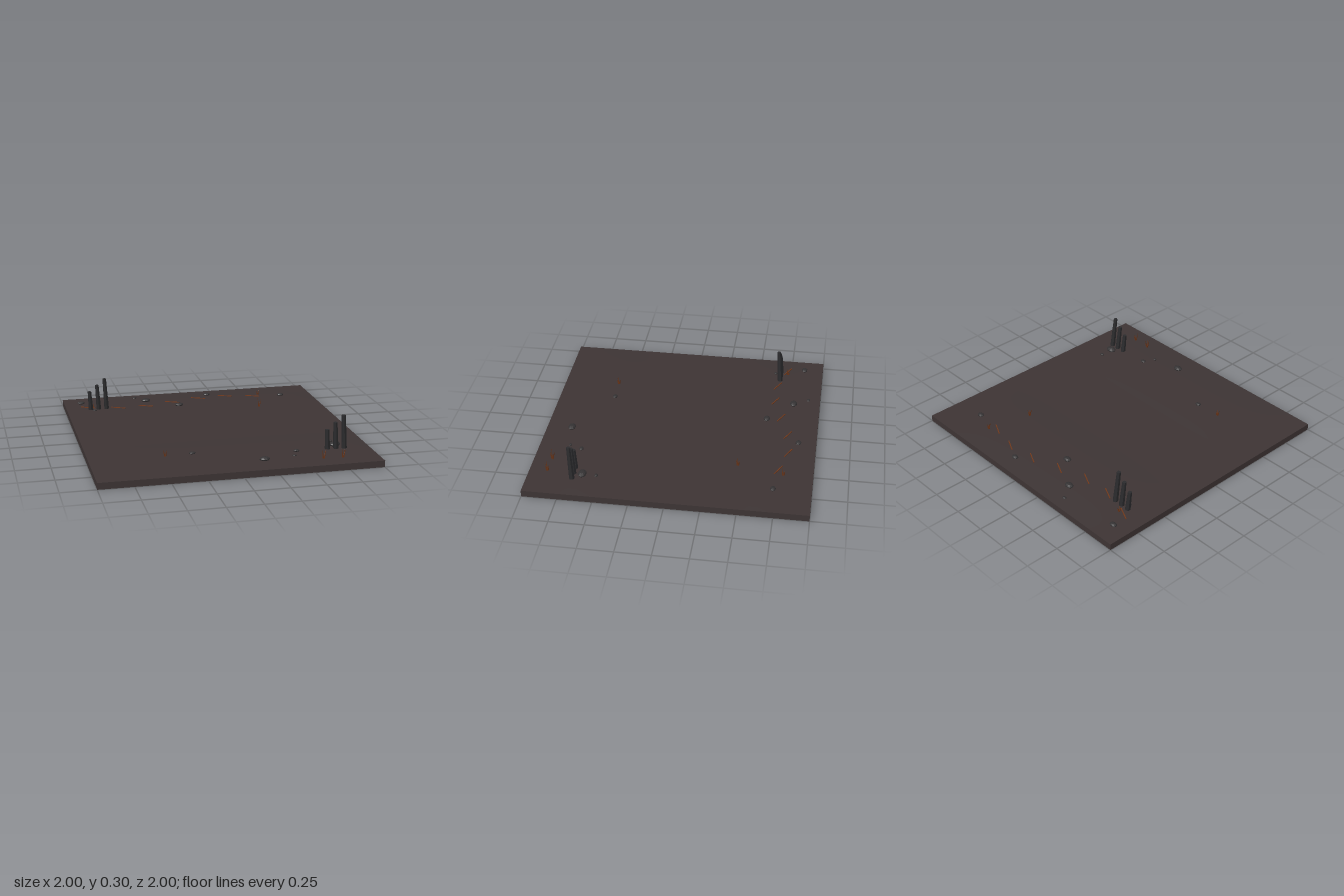
import * as THREE from 'three';

const soil = new THREE.MeshStandardMaterial({ color: 0x3d3434 });
soil.name = 'ashen soil';
const basalt = new THREE.MeshStandardMaterial({ color: 0x2b2b2d, flatShading: true });
basalt.name = 'basalt';
const pebble = new THREE.MeshStandardMaterial({ color: 0x343233, flatShading: true });
pebble.name = 'pebble';
const rust = new THREE.MeshStandardMaterial({ color: 0x70391c, side: THREE.DoubleSide });
rust.name = 'rust';

// Low swells along the front and back of the plain, flat through the middle
function groundHeight(x, z) {
  const t = Math.max(0, (Math.abs(z) - 0.25) / 0.75);
  return 0.047 + 0.007 * Math.sin(Math.PI * Math.min(1, t)) * (1 - x ** 4);
}

function add(parent, name, geometry, material) {
  const mesh = new THREE.Mesh(geometry, material);
  mesh.name = name;
  parent.add(mesh);
  return mesh;
}

export function createModel() {
  const model = new THREE.Group();
  model.name = 'volcanic plain';

  // Ground slab
  const slab = new THREE.BoxGeometry(2, 0.047, 2, 24, 1, 32);
  slab.translate(0, 0.0235, 0);
  const p = slab.attributes.position;
  for (let i = 0; i < p.count; i++) {
    if (p.getY(i) > 0.03) p.setY(i, groundHeight(p.getX(i), p.getZ(i)));
  }
  slab.computeVertexNormals();
  add(model, 'ground', slab, soil);

  // Two stands of leaning hexagonal columns, rising towards +x
  for (const [cx, cz] of [[-0.752, -0.672], [0.75, 0.678]]) {
    const stand = new THREE.Group();
    stand.name = 'columnStand';
    for (let i = 0; i < 3; i++) {
      const top = 0.2 + i * 0.05;
      const g = new THREE.CylinderGeometry(0.015, 0.02, top - 0.04, 6);
      g.translate(0, (top - 0.04) / 2, 0);
      // Shear the column so that its cap stays level
      g.applyMatrix4(new THREE.Matrix4().set(1, -0.065, 0, 0, 0, 1, 0, 0, 0, 0.07, 1, 0, 0, 0, 0, 1));
      add(stand, 'column', g, basalt).position.set(cx + (i - 1) * 0.062, 0.04, cz);
    }
    model.add(stand);
  }

  // Flattened stones: x, z, radius
  const stones = [
    [-0.87, -0.855, 0.029], [-0.43, -0.91, 0.017], [-0.355, -0.8, 0.036], [0.16, -0.87, 0.028],
    [0.745, -0.73, 0.027], [-0.12, -0.615, 0.033], [-0.79, -0.63, 0.016], [-0.27, 0.573, 0.024],
    [0.19, 0.813, 0.037], [0.76, 0.615, 0.042], [0.76, 0.515, 0.018], [0.455, 0.685, 0.022],
    [0.415, 0.775, 0.015],
  ];
  const stoneShape = new THREE.SphereGeometry(1, 10, 6);
  for (const [x, z, r] of stones) {
    const stone = add(model, 'stone', stoneShape, pebble);
    stone.scale.set(r, r * 0.42, r * 0.75);
    stone.position.set(x, groundHeight(x, z) + r * 0.25, z);
  }

  // Thin rusty streaks lying across the back
  const streaks = [[-0.83, -0.725], [-0.6, -0.66], [-0.38, -0.66], [-0.155, -0.72],
    [0.07, -0.785], [0.295, -0.805], [0.515, -0.75]];
  for (const [x, z] of streaks) {
    const streak = add(model, 'streak', new THREE.BoxGeometry(0.115, 0.006, 0.007), rust);
    streak.position.set(x, groundHeight(x, z) + 0.002, z);
    streak.rotation.y = -0.46;
  }

  // Tufts of dry blades: x, z, blade height
  const tufts = [[-0.465, 0.58, 0.06], [0.495, -0.46, 0.075], [0.6, 0.865, 0.09],
    [0.74, 0.87, 0.085], [-0.79, -0.73, 0.05], [0.57, -0.79, 0.06]];
  for (const [x, z, h] of tufts) {
    const tuft = new THREE.Group();
    tuft.name = 'dryTuft';
    for (let i = 0; i < 4; i++) {
      const height = h * (1 - 0.12 * i);
      const g = new THREE.ConeGeometry(0.0055, height, 3);
      g.translate(0, height / 2, 0);
      const blade = add(tuft, 'blade', g, rust);
      blade.rotation.set(0, 0.6 + i * Math.PI / 2, 0.2);
      blade.position.set(-0.004 * Math.cos(0.6 + i * Math.PI / 2), 0, 0.004 * Math.sin(0.6 + i * Math.PI / 2));
    }
    tuft.position.set(x, groundHeight(x, z) - 0.003, z);
    model.add(tuft);
  }

  return model;
}
